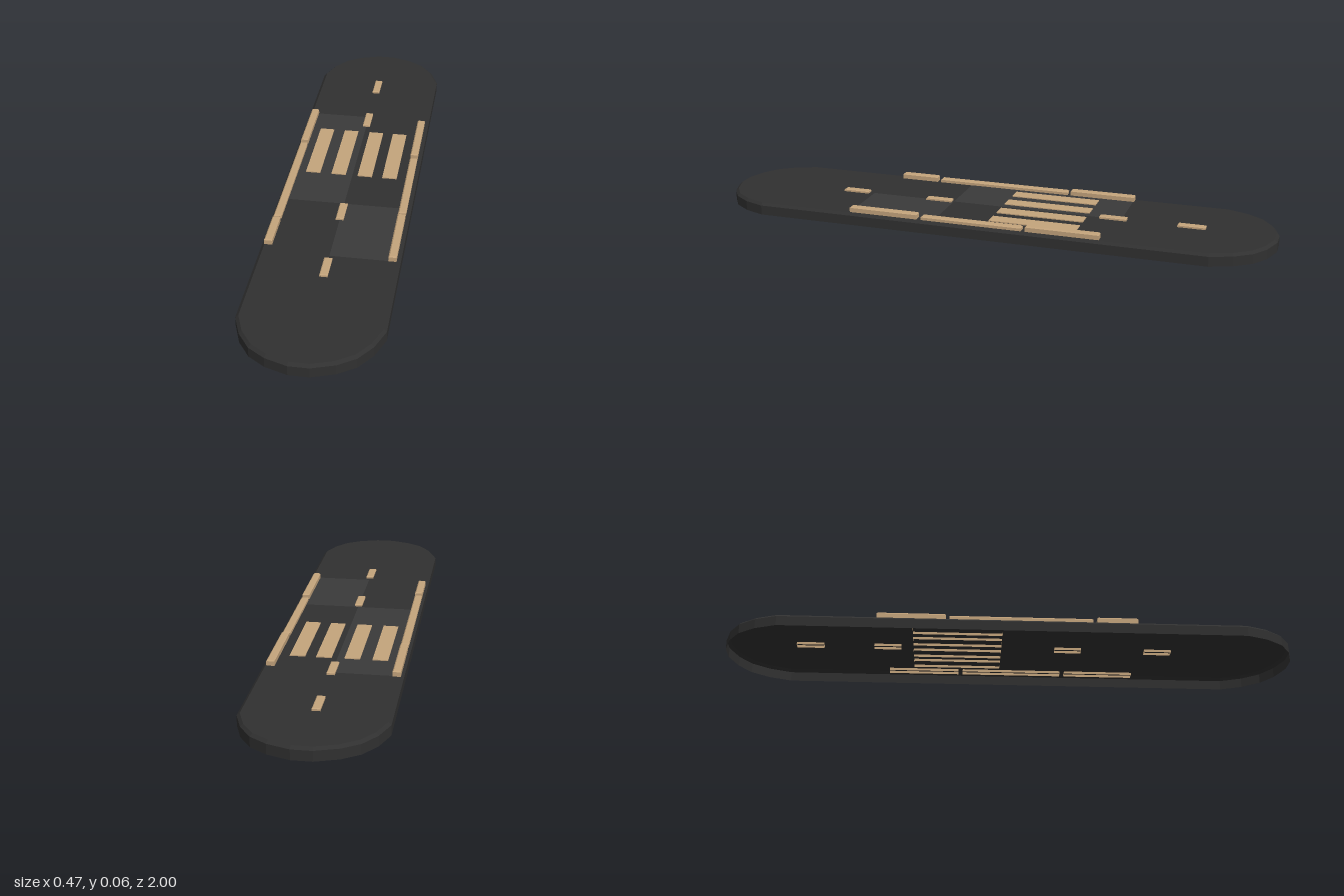
import * as THREE from 'three';

const paint = (color) => new THREE.MeshStandardMaterial({ color, side: THREE.DoubleSide, flatShading: true });
const asphalt = paint(0x303030);
const patchGrey = paint(0x3a3a3a);
const tan = paint(0xc4a47c);

// Open-bottomed shell: a convex outline raised through [y, inset] levels and capped.
// Outlines run counter-clockwise as seen from above.
function shell(outline, levels) {
  const pos = [];
  const rings = levels.map(([y, inset]) => outline(inset).map(([x, z]) => [x, y, z]));
  const n = rings[0].length;
  for (let r = 0; r < rings.length - 1; r++) {
    for (let i = 0; i < n; i++) {
      const j = (i + 1) % n, lo = rings[r], up = rings[r + 1];
      pos.push(...lo[i], ...lo[j], ...up[j], ...lo[i], ...up[j], ...up[i]);
    }
  }
  const top = rings[rings.length - 1];
  for (let i = 1; i < n - 1; i++) pos.push(...top[0], ...top[i], ...top[i + 1]);
  const geo = new THREE.BufferGeometry();
  geo.setAttribute('position', new THREE.Float32BufferAttribute(pos, 3));
  geo.computeVertexNormals();
  return geo;
}

// Rectangle between two x and two z limits
const rect = (x0, x1, z0, z1) => (d) =>
  [[x0 + d, z1 - d], [x1 - d, z1 - d], [x1 - d, z0 + d], [x0 + d, z0 + d]];

// Long slab outline with rounded ends, mirrored from one quarter
const quarter = [[0.033, 1], [0.107, 0.975], [0.163, 0.937], [0.205, 0.878], [0.233, 0.803]];
const slab = (d) => {
  const q = quarter.map(([x, z]) => [x * (1 - d / 0.233), 0.8 + (z - 0.8) * (1 - d / 0.2)]);
  const back = [...q].reverse();
  return [
    ...q,
    ...back.map(([x, z]) => [x, -z]),
    ...q.map(([x, z]) => [-x, -z]),
    ...back.map(([x, z]) => [-x, z]),
  ];
};

export function createModel() {
  const model = new THREE.Group();
  const add = (parent, name, geo, mat) => {
    const mesh = new THREE.Mesh(geo, mat);
    mesh.name = name;
    parent.add(mesh);
    return mesh;
  };
  const group = (name) => {
    const g = new THREE.Group();
    g.name = name;
    model.add(g);
    return g;
  };
  const deckY = 0.043, rootY = 0.034;

  // Road slab with chamfered rim
  add(model, 'roadSlab', shell(slab, [[0, 0], [0.034, 0], [deckY, 0.01]]), asphalt);

  // Lighter resurfaced patches
  const patches = group('roadPatches');
  for (const [x, z0, z1] of [[-0.1, -0.465, 0.15], [0.1, 0.15, 0.46]]) {
    const geo = new THREE.PlaneGeometry(0.2, z1 - z0).rotateX(-Math.PI / 2);
    add(patches, 'patch', geo, patchGrey).position.set(x, deckY + 0.0005, (z0 + z1) / 2);
  }

  // Crossing stripes
  const crossing = group('crossing');
  for (const x of [-0.143, -0.05, 0.045, 0.134]) {
    add(crossing, 'stripe', shell(rect(x - 0.026, x + 0.026, -0.346, 0.034 - 0.068), [[rootY, 0], [0.0465, 0]]), tan);
  }

  // Centre line dashes
  const dashes = group('centreLine');
  for (const z of [-0.71, -0.437, 0.204, 0.527]) {
    add(dashes, 'dash', shell(rect(-0.0135, 0.0135, z - 0.048, z + 0.048),
      [[rootY, 0], [0.049, 0], [0.0515, 0.003]]), tan);
  }

  // Kerb bars: the middle one on each side sits lower
  const kerbs = {
    rightKerb: [-0.2105, [[-0.468, -0.232], [-0.22, 0.273], [0.287, 0.427]]],
    leftKerb: [0.2065, [[-0.438, -0.183], [-0.168, 0.193], [0.209, 0.46]]],
  };
  for (const [name, [x, spans]] of Object.entries(kerbs)) {
    const kerb = group(name);
    spans.forEach(([z0, z1], i) => {
      const y = i === 1 ? 0.0565 : 0.0625;
      add(kerb, 'kerbBar', shell(rect(x - 0.0135, x + 0.0135, z0, z1),
        [[rootY, 0], [y - 0.004, 0], [y, 0.004]]), tan);
    });
  }
  return model;
}
